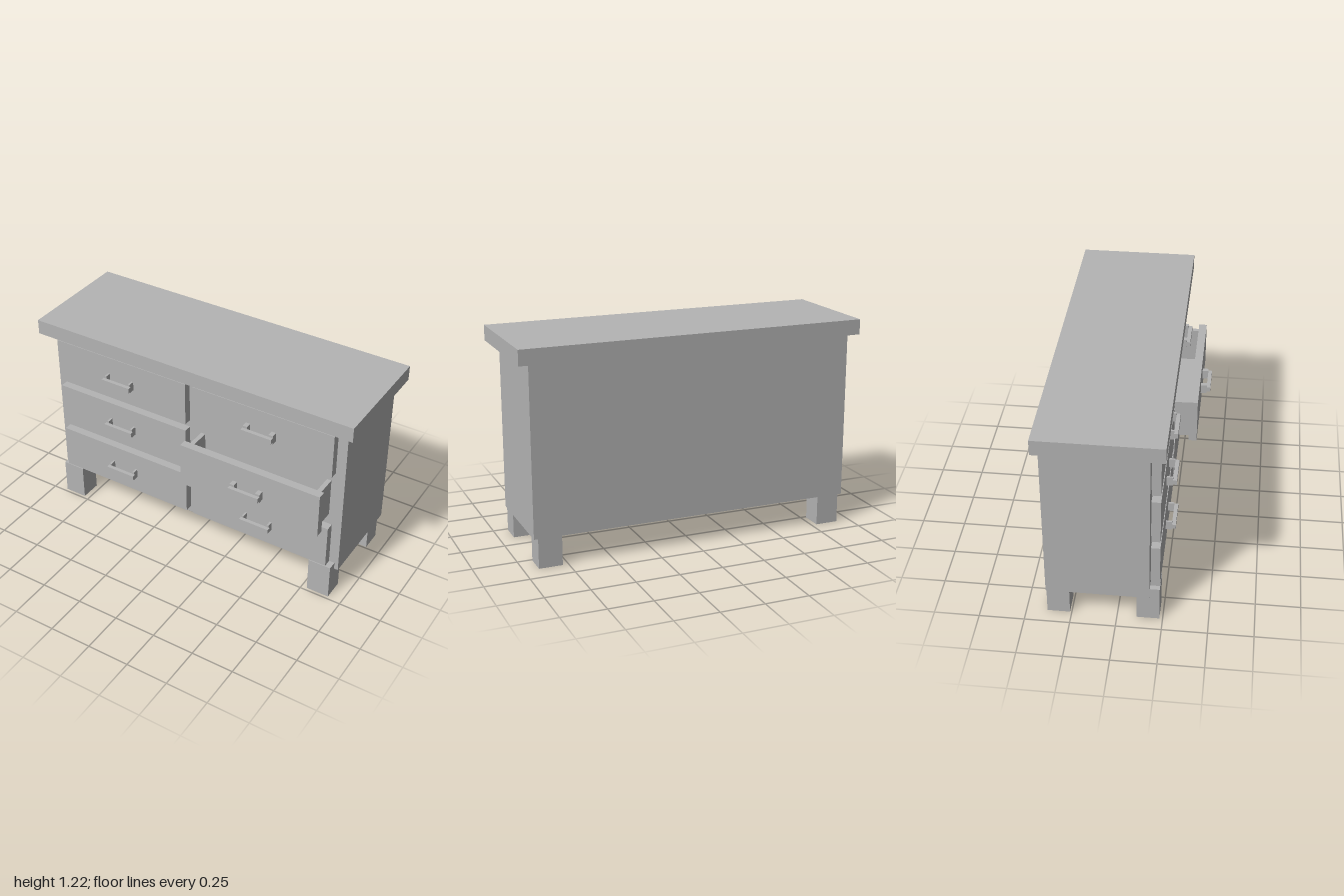
import * as THREE from 'three';

export function createModel() {
  const dresser = new THREE.Group();
  dresser.name = 'dresser';
  const grey = new THREE.MeshStandardMaterial({ color: 0xb4b4b4 });
  grey.name = 'grey';

  // Box given by its lower and upper corners
  function box(parent, name, [x0, y0, z0], [x1, y1, z1]) {
    const geometry = new THREE.BoxGeometry(x1 - x0, y1 - y0, z1 - z0);
    geometry.translate((x0 + x1) / 2, (y0 + y1) / 2, (z0 + z1) / 2);
    const mesh = new THREE.Mesh(geometry, grey);
    mesh.name = name;
    parent.add(mesh);
    return mesh;
  }

  // Carcass and overhanging top
  box(dresser, 'carcass', [-0.94, 0.17, -0.385], [0.94, 1.13, 0.178]);
  box(dresser, 'tabletop', [-1, 1.13, -0.415], [1, 1.217, 0.26]);

  // Block legs; the front pair stands proud of the carcass
  for (const side of [-1, 1]) {
    const x0 = side * 0.85 - 0.067;
    const x1 = side * 0.85 + 0.067;
    box(dresser, 'frontLeg', [x0, 0, 0.107], [x1, 0.213, 0.232]);
    box(dresser, 'backLeg', [x0, 0, -0.385], [x1, 0.172, -0.26]);
  }

  // Pull handle: two posts and a bar, with its base at z = 0
  function makeHandle(postWidth, postX) {
    const handle = new THREE.Group();
    handle.name = 'handle';
    for (const side of [-1, 1]) {
      const x = side * postX;
      box(handle, 'handlePost', [x - postWidth / 2, -0.027, 0], [x + postWidth / 2, 0.027, 0.035]);
    }
    box(handle, 'handleBar', [-0.093, -0.014, 0.034], [0.093, 0.014, 0.056]);
    return handle;
  }

  // Drawer: front panel with its back at z = 0
  function makeDrawer(thinPosts) {
    const drawer = new THREE.Group();
    drawer.name = 'drawer';
    box(drawer, 'drawerFront', [-0.432, -0.133, 0], [0.432, 0.133, 0.047]);
    const handle = thinPosts ? makeHandle(0.012, 0.08) : makeHandle(0.027, 0.079);
    handle.position.z = 0.047;
    drawer.add(handle);
    return drawer;
  }

  // Two columns of three drawers, the middle one on the left pulled out
  const rows = [0.349, 0.66, 0.97];
  rows.forEach((y, row) => {
    for (const side of [-1, 1]) {
      const open = side === 1 && row === 1;
      const drawer = makeDrawer(side === -1 || row === 0);
      drawer.position.set(side === 1 ? 0.453 : -0.458, y, open ? 0.311 : 0.183);
      if (open) {
        // Tray sides and floor behind the open front
        box(drawer, 'trayFloor', [-0.408, -0.115, -0.18], [0.408, -0.095, 0]);
        for (const s of [-1, 1]) {
          const x = s * 0.395;
          box(drawer, 'traySide', [x - 0.013, -0.115, -0.18], [x + 0.013, 0.115, 0]);
        }
      } else {
        // Short tray stub joining the front to the carcass
        box(drawer, 'trayStub', [-0.408, -0.115, -0.03], [0.408, 0.115, 0]);
      }
      dresser.add(drawer);
    }
  });

  return dresser;
}
